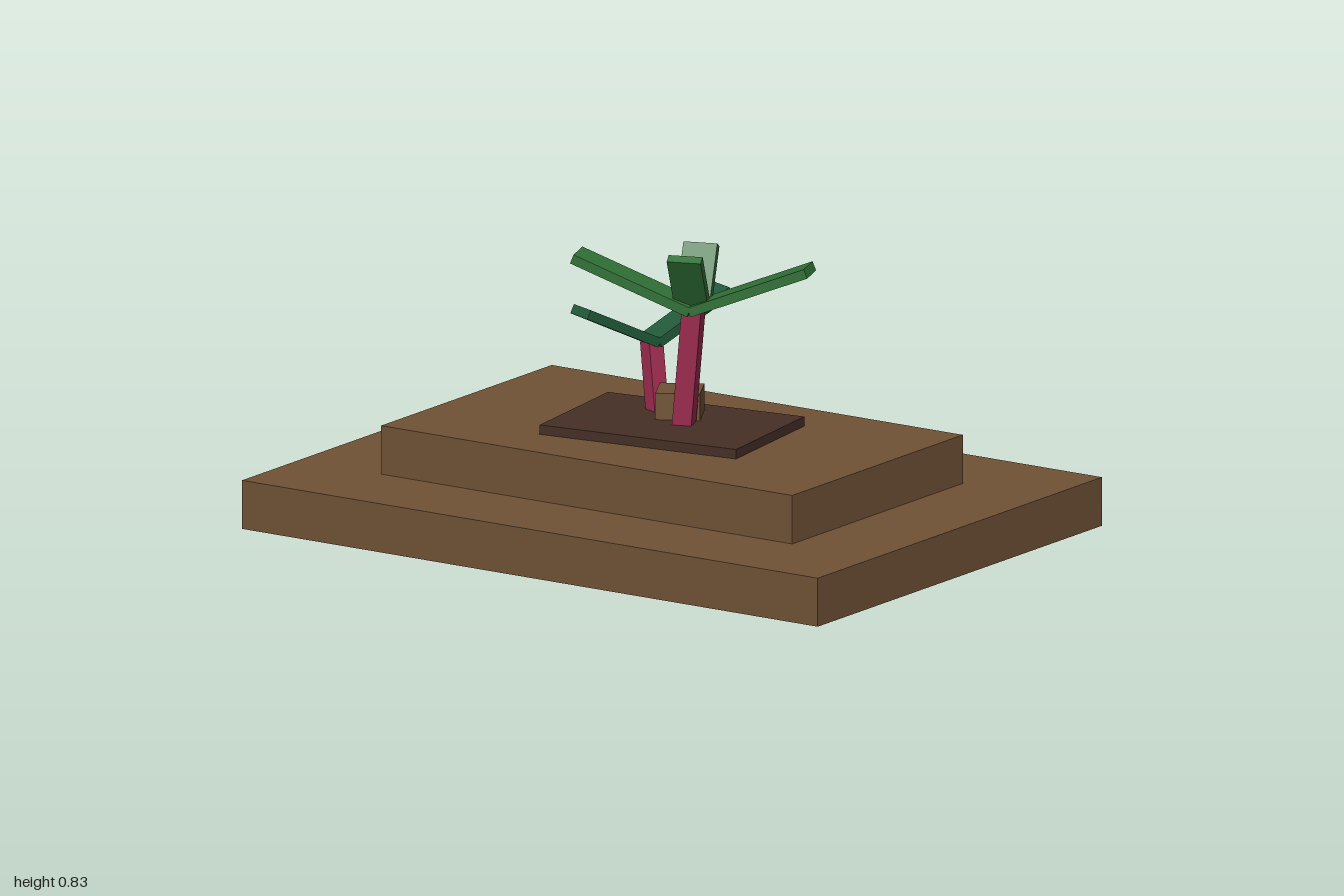
import * as THREE from 'three';

export function createModel() {
  const model = new THREE.Group();
  const paint = (name, color) => {
    const m = new THREE.MeshStandardMaterial({ color });
    m.name = name;
    return m;
  };
  const earth = paint('earth brown', 0x705236);
  const soil = paint('dark soil', 0x452f26);
  const bark = paint('red bark', 0x9e2c50);
  const leaf = paint('leaf green', 0x317036);
  const darkLeaf = paint('dark leaf green', 0x22593a);

  // Upright box standing on height y, turned about the vertical axis
  function block(name, mat, [w, h, d], [x, y, z], yaw = 0) {
    const mesh = new THREE.Mesh(new THREE.BoxGeometry(w, h, d), mat);
    mesh.name = name;
    mesh.position.set(x, y + h / 2, z);
    mesh.rotation.y = yaw;
    model.add(mesh);
  }

  // Box running from one point to another; side is its rough width direction
  function beam(name, mat, from, to, width, thick, side) {
    const a = new THREE.Vector3(...from), b = new THREE.Vector3(...to);
    const along = b.clone().sub(a), length = along.length();
    along.normalize();
    const depth = new THREE.Vector3().crossVectors(side, along).normalize();
    const across = new THREE.Vector3().crossVectors(along, depth);
    const mesh = new THREE.Mesh(new THREE.BoxGeometry(width, length, thick), mat);
    mesh.name = name;
    mesh.quaternion.setFromRotationMatrix(new THREE.Matrix4().makeBasis(across, along, depth));
    mesh.position.copy(a).add(b).multiplyScalar(0.5);
    model.add(mesh);
  }

  // Leaf rising from a crown point along a compass heading (0 = +x, turning to -z)
  function frond(name, mat, [x, y, z], heading, reach, rise, width) {
    const c = Math.cos(heading), s = Math.sin(heading);
    beam(name, mat, [x, y, z], [x + c * reach, y + rise, z - s * reach],
      width, 0.028, new THREE.Vector3(s, 0, c));
  }

  // Stepped ground, soil patch and stone
  block('lowerStep', earth, [2, 0.143, 1.428], [0, 0, 0]);
  block('upperStep', earth, [1.428, 0.143, 0.857], [0, 0.143, 0]);
  block('soilPatch', soil, [0.63, 0.028, 0.43], [0, 0.286, 0], 0.134);
  block('stone', earth, [0.128, 0.08, 0.124], [-0.02, 0.312, -0.068], 0.5);

  // Tall plant: two long spreading leaves and two short steep ones
  const yaw = 0.35;
  const tallTop = [0.08, 0.658, 0.01];
  beam('tallTrunk', bark, [0.043, 0.3, 0.004], [0.083, 0.655, 0.012], 0.057, 0.057,
    new THREE.Vector3(Math.cos(yaw), 0, -Math.sin(yaw)));
  for (const turn of [0, Math.PI]) {
    frond('longLeaf', leaf, tallTop, yaw + turn, 0.345, 0.136, 0.1);
    frond('steepLeaf', leaf, tallTop, yaw + turn + Math.PI / 2, 0.095, 0.168, 0.1);
  }

  // Small plant: two dark leaves in a V
  const smallYaw = 1.2;
  const smallTop = [-0.149, 0.507, -0.113];
  beam('smallTrunk', bark, [-0.108, 0.3, -0.083], [-0.149, 0.505, -0.113], 0.048, 0.048,
    new THREE.Vector3(Math.cos(smallYaw), 0, -Math.sin(smallYaw)));
  for (const turn of [0, Math.PI])
    frond('smallLeaf', darkLeaf, smallTop, smallYaw + turn, 0.245, 0.118, 0.086);

  return model;
}
